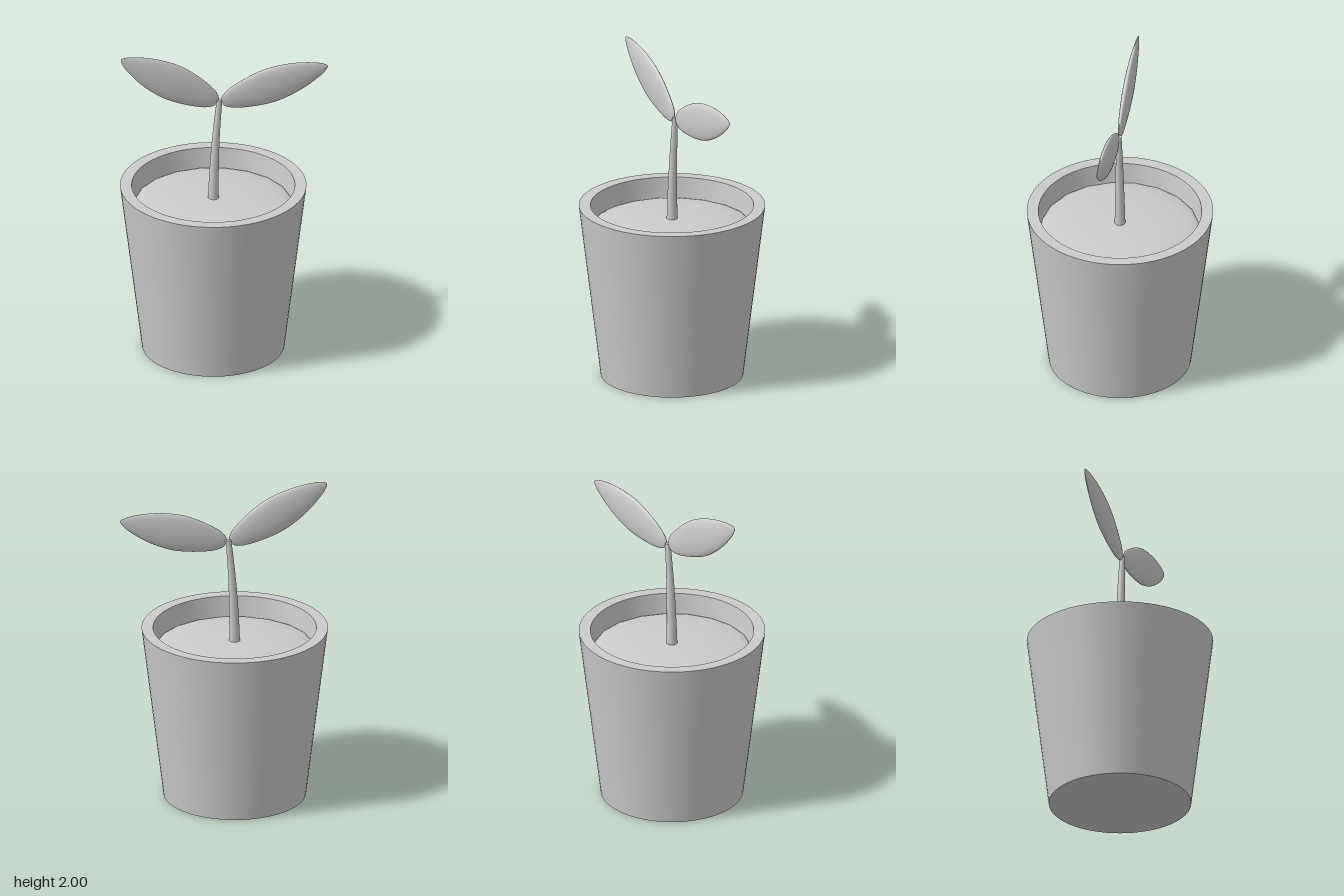
import * as THREE from 'three';
import { mergeGeometries } from 'three/addons/utils/BufferGeometryUtils.js';

const material = new THREE.MeshStandardMaterial({ color: 0xcccccc });
const POT_X = -0.07;

function addMesh(parent, name, geometry) {
  const mesh = new THREE.Mesh(geometry, material);
  mesh.name = name;
  parent.add(mesh);
  return mesh;
}

// Lathe whose profile corners all stay sharp: one smooth band per segment
function sharpLathe(points, sides) {
  const bands = [];
  for (let i = 0; i < points.length - 1; i++) {
    const pair = [points[i], points[i + 1]].map(([r, y]) => new THREE.Vector2(r, y));
    bands.push(new THREE.LatheGeometry(pair, sides));
  }
  return mergeGeometries(bands);
}

// Gently bent stem: a tube whose rings shrink towards the top
function stemGeometry(curve, rBase, rTop, rings = 16, sides = 16) {
  const geo = new THREE.TubeGeometry(curve, rings, 1, sides);
  const pos = geo.attributes.position;
  const v = new THREE.Vector3();
  for (let i = 0; i <= rings; i++) {
    const centre = curve.getPointAt(i / rings);
    const radius = THREE.MathUtils.lerp(rBase, rTop, i / rings);
    for (let j = 0; j <= sides; j++) {
      const k = i * (sides + 1) + j;
      v.fromBufferAttribute(pos, k).sub(centre).multiplyScalar(radius).add(centre);
      pos.setXYZ(k, v.x, v.y, v.z);
    }
  }
  geo.computeBoundingSphere();
  return geo;
}

// Flattened almond-shaped leaf, base at the origin and tip along +y
function leafGeometry(length) {
  const outline = new THREE.SplineCurve([
    [0, 0], [0.035, 0.018], [0.072, 0.11], [0.106, 0.31], [0.116, 0.5],
    [0.093, 0.72], [0.05, 0.9], [0.018, 0.98], [0, 1],
  ].map(([r, t]) => new THREE.Vector2(r, t * length)));
  const points = outline.getPoints(40);
  points.forEach((p) => { p.x = Math.max(p.x, 0); });
  points[0].x = points[40].x = 0;
  return new THREE.LatheGeometry(points, 32).scale(1, 1, 0.25);
}

export function createModel() {
  const model = new THREE.Group();
  model.name = 'pottedSeedling';

  // Tapered pot with a thick rim and an inner wall running down to its floor
  const pot = addMesh(model, 'pot', sharpLathe([
    [0, 0], [0.432, 0], [0.565, 1.085], [0.495, 1.085], [0.375, 0.08], [0, 0.08],
  ], 64));
  pot.position.x = POT_X;

  // Low dome of soil
  const dome = [new THREE.Vector2(0.484, 0.93)];
  for (let i = 0; i <= 10; i++) {
    const a = (i / 10) * Math.PI / 2;
    dome.push(new THREE.Vector2(i === 10 ? 0 : 0.482 * Math.cos(a), 0.95 + 0.05 * Math.sin(a)));
  }
  addMesh(model, 'soil', new THREE.LatheGeometry(dome, 20)).position.x = POT_X;

  // Stem and its cut top
  const curve = new THREE.CatmullRomCurve3([
    new THREE.Vector3(-0.07, 0.96, 0),
    new THREE.Vector3(-0.066, 1.15, 0),
    new THREE.Vector3(-0.054, 1.4, 0),
    new THREE.Vector3(-0.032, 1.66, 0),
  ]);
  addMesh(model, 'stem', stemGeometry(curve, 0.034, 0.017));
  const cap = addMesh(model, 'stemTop', new THREE.CircleGeometry(0.017, 16));
  cap.position.copy(curve.getPointAt(1));
  cap.quaternion.setFromUnitVectors(new THREE.Vector3(0, 0, 1), curve.getTangentAt(1));

  // Two leaves, each given by its base and tip
  const leaves = [
    ['rightLeaf', -0.044, 1.646, -0.638, 1.988],
    ['leftLeaf', -0.018, 1.646, 0.636, 1.832],
  ];
  for (const [name, bx, by, tx, ty] of leaves) {
    const leaf = addMesh(model, name, leafGeometry(Math.hypot(tx - bx, ty - by)));
    leaf.position.set(bx, by, 0);
    leaf.rotation.z = Math.atan2(ty - by, tx - bx) - Math.PI / 2;
  }
  return model;
}
